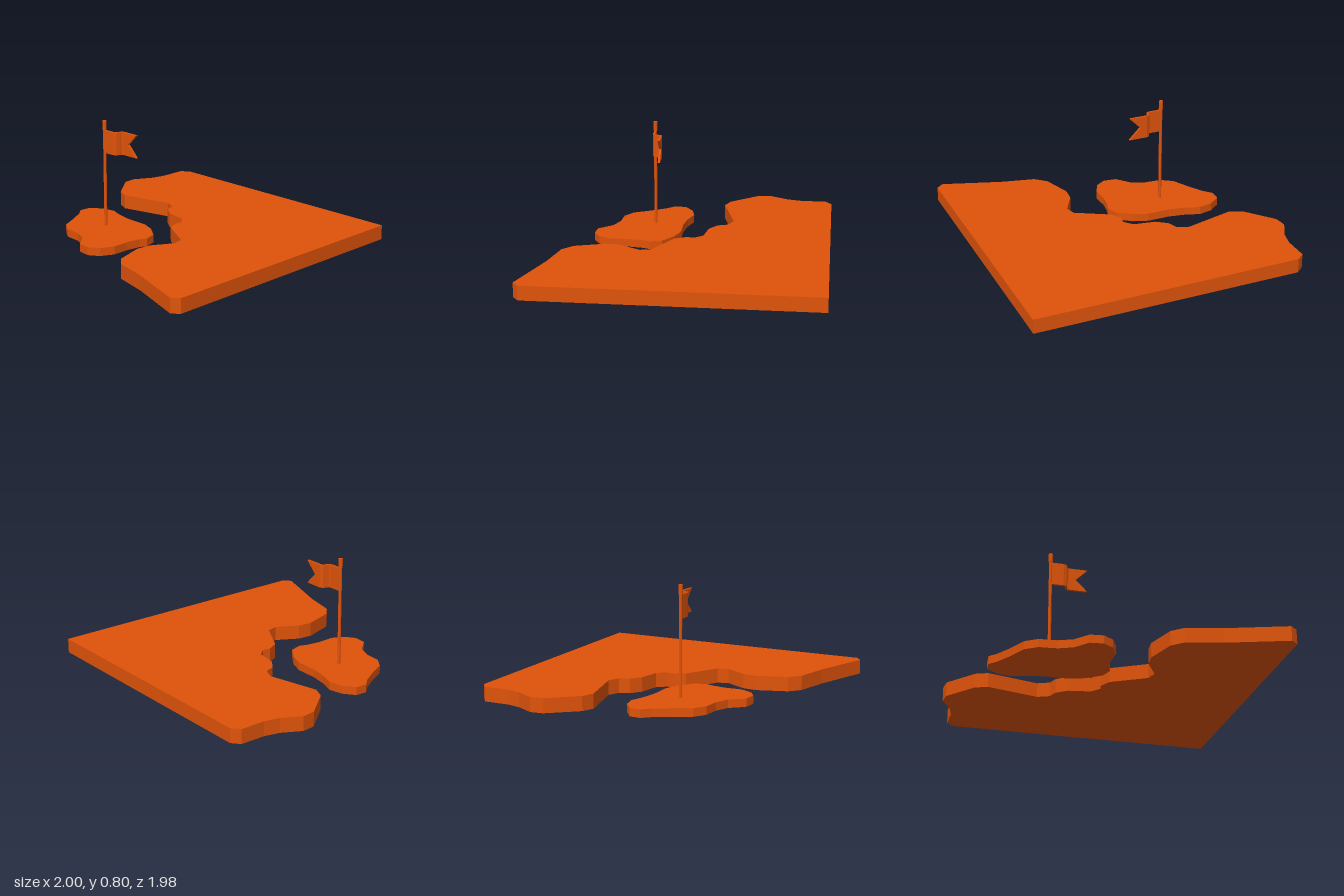
import * as THREE from 'three';

const orange = new THREE.MeshStandardMaterial({ color: 0xe0530a, flatShading: true });

function part(name, geometry, parent) {
  const mesh = new THREE.Mesh(geometry, orange);
  mesh.name = name;
  parent.add(mesh);
  return mesh;
}

const outline = (points) => new THREE.Shape(points.map(([x, y]) => new THREE.Vector2(x, y)));

// Raises an outline given in ground coordinates (x, z) from y to y + height.
function slab(points, height, y = 0) {
  const geometry = new THREE.ExtrudeGeometry(outline(points.map(([x, z]) => [x, -z])), {
    depth: height, bevelEnabled: false,
  });
  return geometry.rotateX(-Math.PI / 2).translate(0, y, 0);
}

// Widens a path on the ground into a closed strip of even thickness.
function strip(path, thickness) {
  const side = (sign) => path.map(([x, z], i) => {
    const a = path[Math.max(i - 1, 0)], b = path[Math.min(i + 1, path.length - 1)];
    const dx = b[0] - a[0], dz = b[1] - a[1];
    const k = (sign * thickness) / 2 / Math.hypot(dx, dz);
    return [x - dz * k, z + dx * k];
  });
  return [...side(1), ...side(-1).reverse()];
}

export function createModel() {
  const model = new THREE.Group();
  model.name = 'coastWithFlagIsland';

  // Mainland with a straight back and left edge and a ragged coast
  part('mainland', slab([
    [-0.85, -0.99], [1, -0.99], [1, 0.95], [0.95, 0.99], [0.55, 0.855], [0.315, 0.80],
    [0.24, 0.73], [0.175, 0.525], [0.185, 0.425], [0.27, 0.275], [0.25, 0.20],
    [0.02, 0.07], [-0.02, -0.01], [-0.01, -0.06], [-0.06, -0.12], [-0.21, -0.145],
    [-0.285, -0.20], [-0.31, -0.27], [-0.39, -0.305], [-0.745, -0.215], [-0.83, -0.25],
    [-0.99, -0.445], [-1, -0.535], [-0.93, -0.665], [-0.905, -0.77], [-0.905, -0.945],
  ], 0.1), model);

  // Lower island in the bay
  part('island', slab([
    [-0.805, 0.08], [-0.725, 0.02], [-0.63, 0], [-0.525, 0.035], [-0.41, 0.055],
    [-0.255, 0.055], [-0.155, 0.09], [-0.05, 0.165], [-0.025, 0.25], [-0.045, 0.30],
    [-0.06, 0.40], [-0.055, 0.52], [-0.10, 0.61], [-0.17, 0.655], [-0.26, 0.645],
    [-0.34, 0.55], [-0.435, 0.51], [-0.555, 0.50], [-0.635, 0.445], [-0.70, 0.315],
    [-0.76, 0.215], [-0.81, 0.16],
  ], 0.056), model);

  // Flag pole with a slightly wider top
  const flag = new THREE.Group();
  flag.name = 'flag';
  model.add(flag);
  part('pole', new THREE.CylinderGeometry(0.011, 0.011, 0.72, 12), flag)
    .position.set(-0.433, 0.4, 0.255);
  part('poleTop', new THREE.CylinderGeometry(0.0145, 0.0145, 0.064, 12), flag)
    .position.set(-0.433, 0.77, 0.255);

  // Waving cloth and its swallow tail
  const bottom = 0.577, top = 0.736, thickness = 0.016;
  part('flagCloth', slab(strip([
    [-0.43, 0.254], [-0.345, 0.254], [-0.327, 0.247], [-0.32, 0.227],
    [-0.315, 0.207], [-0.298, 0.2], [-0.255, 0.2],
  ], thickness), top - bottom, bottom), flag);
  part('flagTail', new THREE.ExtrudeGeometry(outline([
    [-0.255, bottom], [-0.17, bottom], [-0.25, (bottom + top) / 2], [-0.17, top], [-0.255, top],
  ]), { depth: thickness, bevelEnabled: false }).translate(0, 0, 0.2 - thickness / 2), flag);

  return model;
}
